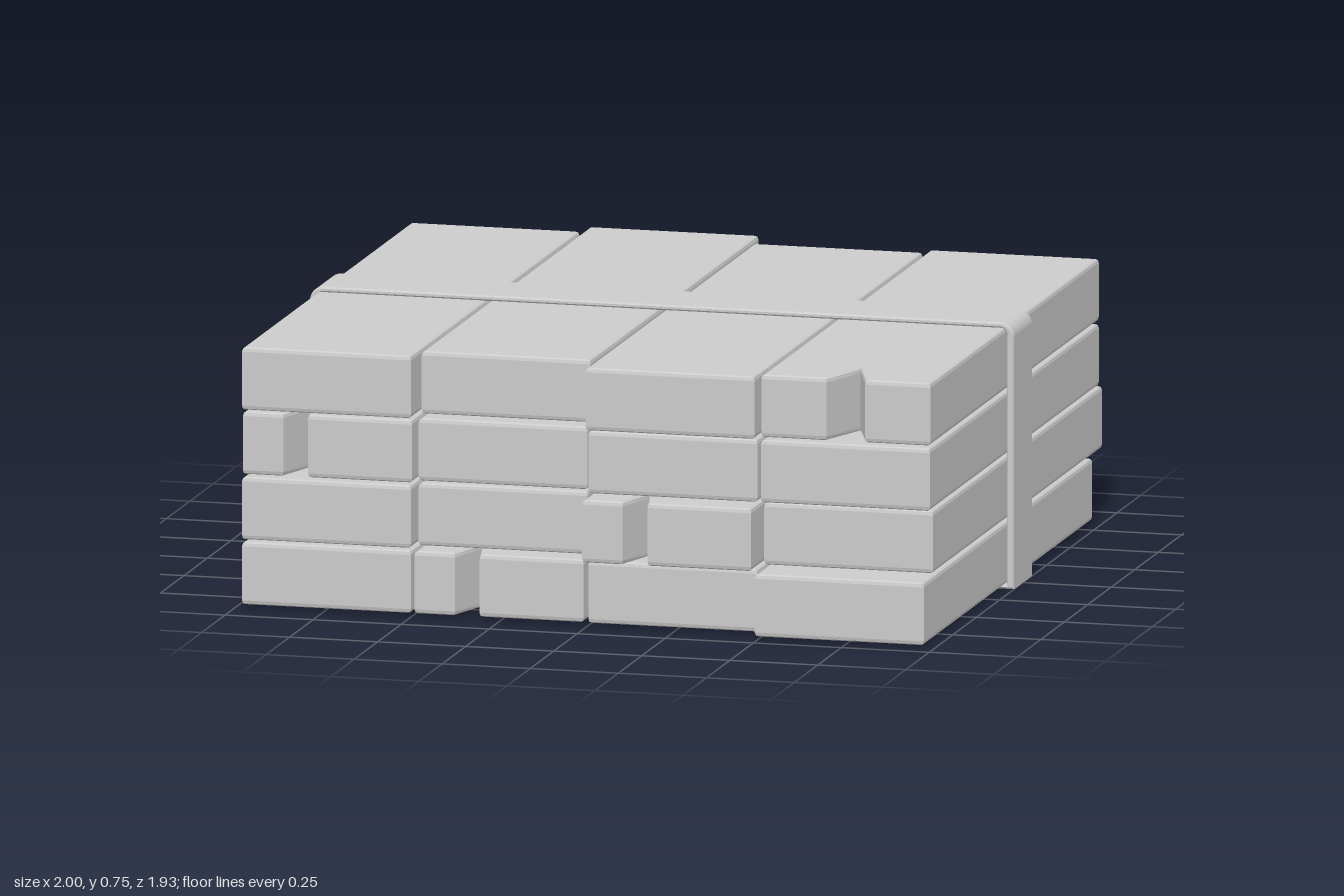
import * as THREE from 'three';

const material = new THREE.MeshStandardMaterial({ color: 0xcccccc });
const WIDTH = 0.48, HEIGHT = 0.175, BEVEL = 0.012;

// Plank outline in plan, with optional V-shaped splits: [mouth left, mouth right, tip, depth]
function plankGeometry(back, front, frontSplit, backSplit) {
  const h = WIDTH / 2;
  const pts = [[-h, back]];
  if (backSplit) {
    const [l, r, t, d] = backSplit;
    pts.push([l, back], [t, back + d], [r, back]);
  }
  pts.push([h, back], [h, front]);
  if (frontSplit) {
    const [l, r, t, d] = frontSplit;
    pts.push([r, front], [t, front - d], [l, front]);
  }
  pts.push([-h, front]);
  const shape = new THREE.Shape(pts.map(([x, z]) => new THREE.Vector2(x, z)));
  const geo = new THREE.ExtrudeGeometry(shape, {
    depth: HEIGHT - 2 * BEVEL, bevelThickness: BEVEL, bevelSize: BEVEL * 0.7,
    bevelOffset: -BEVEL * 0.7, bevelSegments: 2,
  });
  geo.rotateX(Math.PI / 2);
  geo.translate(0, HEIGHT - BEVEL, 0);
  return geo;
}

// Closed strap around the stack, rounded at the top corners
function strapGeometry() {
  const outline = (target, w, y0, y1, r) => target
    .moveTo(-w, y0).lineTo(w, y0).lineTo(w, y1 - r)
    .absarc(w - r, y1 - r, r, 0, Math.PI / 2, false)
    .lineTo(-w + r, y1)
    .absarc(-w + r, y1 - r, r, Math.PI / 2, Math.PI, false)
    .lineTo(-w, y0);
  const shape = outline(new THREE.Shape(), 1, 0, 0.745, 0.04);
  shape.holes.push(outline(new THREE.Path(), 0.979, 0.012, 0.729, 0.02));
  const b = 0.005;
  const geo = new THREE.ExtrudeGeometry(shape, {
    depth: 0.2 - 2 * b, bevelThickness: b, bevelSize: b, bevelOffset: -b,
    bevelSegments: 1, curveSegments: 8,
  });
  geo.translate(0, 0, -0.1 + b);
  return geo;
}

export function createModel() {
  const group = new THREE.Group();
  const columns = [-0.74, -0.25, 0.245, 0.735];
  const rows = [0.01, 0.192, 0.373, 0.555];

  // Split patterns of the weathered planks
  const frontCrack = [-0.125, -0.055, -0.085, 0.14];
  const backCrack = [0.09, 0.16, 0.12, 0.13];
  const wedge = [-0.055, 0.055, 0, 0.155];

  // Back and front end of each plank, by row from the bottom, then by column
  const ends = [
    [[-0.9, 0.895], [-0.895, 0.895], [-0.89, 0.9], [-0.83, 0.965]],
    [[-0.895, 0.895], [-0.9, 0.85], [-0.955, 0.965], [-0.935, 0.865]],
    [[-0.9, 0.885], [-0.935, 0.85], [-0.885, 0.9], [-0.9, 0.9]],
    [[-0.9, 0.895], [-0.97, 0.82], [-0.86, 0.93], [-0.9, 0.895]],
  ];
  // [front, back] splits, keyed by row and column
  const splits = {
    '0,1': [frontCrack, backCrack],
    '1,2': [frontCrack, backCrack],
    '2,0': [frontCrack, backCrack],
    '0,3': [null, wedge],
    '3,3': [wedge, null],
  };

  const stack = new THREE.Group();
  stack.name = 'plankStack';
  rows.forEach((y, r) => columns.forEach((x, c) => {
    const [back, front] = ends[r][c];
    const [fs, bs] = splits[`${r},${c}`] || [];
    const plank = new THREE.Mesh(plankGeometry(back, front, fs, bs), material);
    plank.name = `plankRow${r + 1}Column${c + 1}`;
    plank.position.set(x, y, 0);
    stack.add(plank);
  }));
  group.add(stack);

  const strap = new THREE.Mesh(strapGeometry(), material);
  strap.name = 'strap';
  group.add(strap);
  return group;
}
